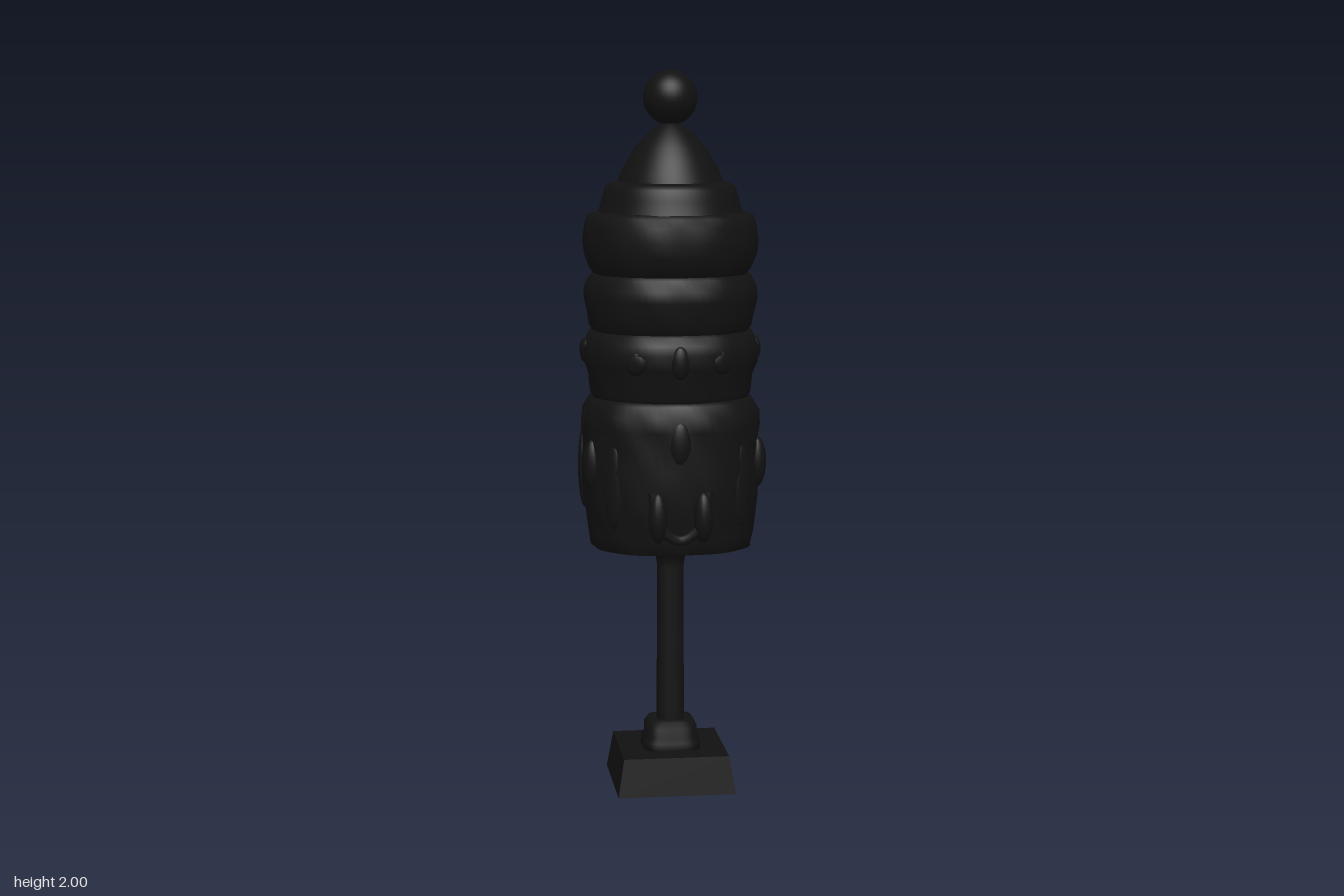
import * as THREE from 'three';
import { mergeVertices } from 'three/addons/utils/BufferGeometryUtils.js';

const material = new THREE.MeshStandardMaterial({ color: 0x111111 });

function add(parent, name, geometry, x = 0, y = 0, z = 0) {
  const mesh = new THREE.Mesh(geometry, material);
  mesh.name = name;
  mesh.position.set(x, y, z);
  parent.add(mesh);
  return mesh;
}

// Lathe whose round section is squared off (power > 2), scaled per axis and gently rippled
function squaredLathe(profile, { power = 2, sx = 1, sz = 1, ripple = 0, waves = 14, segments = 72 } = {}) {
  const points = profile.map(([r, y]) => new THREE.Vector2(r, y));
  let g = new THREE.LatheGeometry(points, segments);
  const p = g.attributes.position;
  for (let i = 0; i < p.count; i++) {
    const x = p.getX(i), y = p.getY(i), z = p.getZ(i);
    const r = Math.hypot(x, z);
    if (r < 1e-5) continue;
    const c = x / r, s = z / r, a = Math.atan2(z, x);
    const square = Math.pow(Math.abs(c) ** power + Math.abs(s) ** power, -1 / power);
    const k = r * square + ripple * Math.min(1, r / 0.2) * Math.cos(a * waves) * Math.sin(y * 40);
    p.setXYZ(i, c * k * sx, y, s * k * sz);
  }
  g.deleteAttribute('uv');
  g.deleteAttribute('normal');
  g = mergeVertices(g, 1e-5);
  g.computeVertexNormals();
  return g;
}

// Tapered square block standing on its own y = 0
function taperedBlock(bottom, top, height) {
  const g = new THREE.CylinderGeometry(top * Math.SQRT1_2, bottom * Math.SQRT1_2, height, 4);
  g.rotateY(Math.PI / 4).translate(0, height / 2, 0);
  const flat = g.toNonIndexed();
  flat.computeVertexNormals();
  return flat;
}

export function createModel() {
  const group = new THREE.Group();

  // Stepped foot and post
  add(group, 'base', taperedBlock(0.33, 0.295, 0.105));
  add(group, 'baseCollar', squaredLathe([[0, 0.1], [0.082, 0.1], [0.08, 0.125], [0.072, 0.14],
    [0.072, 0.165], [0.062, 0.182], [0.04, 0.184], [0, 0.185]], { power: 4 }));
  add(group, 'post', squaredLathe([[0.038, 0.17], [0.037, 0.4], [0.036, 0.62], [0.04, 0.65],
    [0.06, 0.67]], { power: 3.2, segments: 32 }));

  // Lower carved drum with its shallow conical underside
  add(group, 'lowerDrum', squaredLathe([[0, 0.668], [0.05, 0.668], [0.12, 0.68], [0.2, 0.688], [0.218, 0.692],
    [0.222, 0.73], [0.23, 0.78], [0.238, 0.84], [0.24, 0.92], [0.236, 0.98], [0.24, 1.03],
    [0.236, 1.07], [0.222, 1.1], [0.205, 1.11], [0, 1.12]],
  { power: 2.5, sx: 1.02, sz: 0.96, ripple: 0.004, waves: 12 }));

  // Three stacked bulging tiers
  const tiers = [
    [[0, 1.1], [0.21, 1.1], [0.22, 1.12], [0.225, 1.17], [0.236, 1.2], [0.243, 1.24], [0.232, 1.265],
      [0.224, 1.285], [0.2, 1.3], [0, 1.3]],
    [[0, 1.28], [0.205, 1.28], [0.222, 1.305], [0.228, 1.34], [0.236, 1.38], [0.235, 1.41],
      [0.22, 1.44], [0.2, 1.455], [0, 1.46]],
    [[0, 1.43], [0.205, 1.44], [0.222, 1.465], [0.235, 1.5], [0.238, 1.54], [0.234, 1.58],
      [0.226, 1.605], [0.2, 1.615], [0, 1.62]],
  ];
  tiers.forEach((profile, i) => add(group, 'tier' + (i + 1),
    squaredLathe(profile, { power: 2.25, sx: 1.01, sz: 0.95, ripple: 0.002, waves: 12 })));

  // Stepped domed roof drawn up to a point, with a ball
  add(group, 'roofStep', squaredLathe([[0.205, 1.6], [0.198, 1.615], [0.188, 1.65], [0.18, 1.68],
    [0.168, 1.692], [0.145, 1.697], [0, 1.71]], { power: 2.1, sz: 0.98 }));
  add(group, 'dome', squaredLathe([[0.148, 1.69], [0.137, 1.72], [0.12, 1.752], [0.097, 1.79],
    [0.066, 1.825], [0.035, 1.85], [0.012, 1.862], [0, 1.866]]));
  add(group, 'finialBall', new THREE.SphereGeometry(0.075, 32, 20), 0, 1.925, 0);

  // Relief ornaments: elongated swellings half sunk in the walls
  const carvings = new THREE.Group();
  carvings.name = 'carvings';
  group.add(carvings);
  const swelling = (x, y, z, width, height, depth) => {
    const m = add(carvings, 'reliefSwelling', new THREE.SphereGeometry(1, 16, 12), x, y, z);
    m.scale.set(width, height, depth);
    m.rotation.y = Math.atan2(x, z);
  };
  for (const side of [1, -1]) {
    swelling(side * 0.062, 0.8, 0.228, 0.026, 0.07, 0.028);
    swelling(side * 0.088, 0.81, -0.218, 0.03, 0.075, 0.025);
    swelling(side * 0.075, 0.98, -0.22, 0.025, 0.06, 0.018);
    swelling(side * 0.228, 0.93, 0.1, 0.028, 0.07, 0.026);
    swelling(side * 0.232, 0.9, -0.08, 0.035, 0.12, 0.018);
    swelling(side * 0.235, 1.03, 0.01, 0.04, 0.045, 0.015);
    swelling(side * 0.175, 0.88, 0.165, 0.035, 0.12, 0.018);
    swelling(side * 0.175, 0.88, -0.165, 0.035, 0.12, 0.018);
    swelling(side * 0.236, 1.235, 0, 0.04, 0.035, 0.016);
    swelling(side * 0.12, 1.22, 0.195, 0.035, 0.035, 0.014);
    swelling(side * 0.12, 1.22, -0.195, 0.035, 0.035, 0.014);
  }
  swelling(0, 0.82, -0.225, 0.045, 0.075, 0.034);
  swelling(0, 0.98, -0.225, 0.03, 0.07, 0.022);
  swelling(0, 1.0, 0.222, 0.03, 0.06, 0.016);
  swelling(0, 1.22, 0.222, 0.025, 0.045, 0.016);
  swelling(0, 1.22, -0.222, 0.04, 0.035, 0.02);

  // Hanging garland joining the two front swellings
  const garland = new THREE.CatmullRomCurve3([[-0.075, 0.87, 0.222], [-0.06, 0.78, 0.226],
    [0, 0.735, 0.224], [0.06, 0.78, 0.226], [0.075, 0.87, 0.222]].map(p => new THREE.Vector3(...p)));
  add(carvings, 'frontGarland', new THREE.TubeGeometry(garland, 32, 0.014, 8));

  return group;
}
